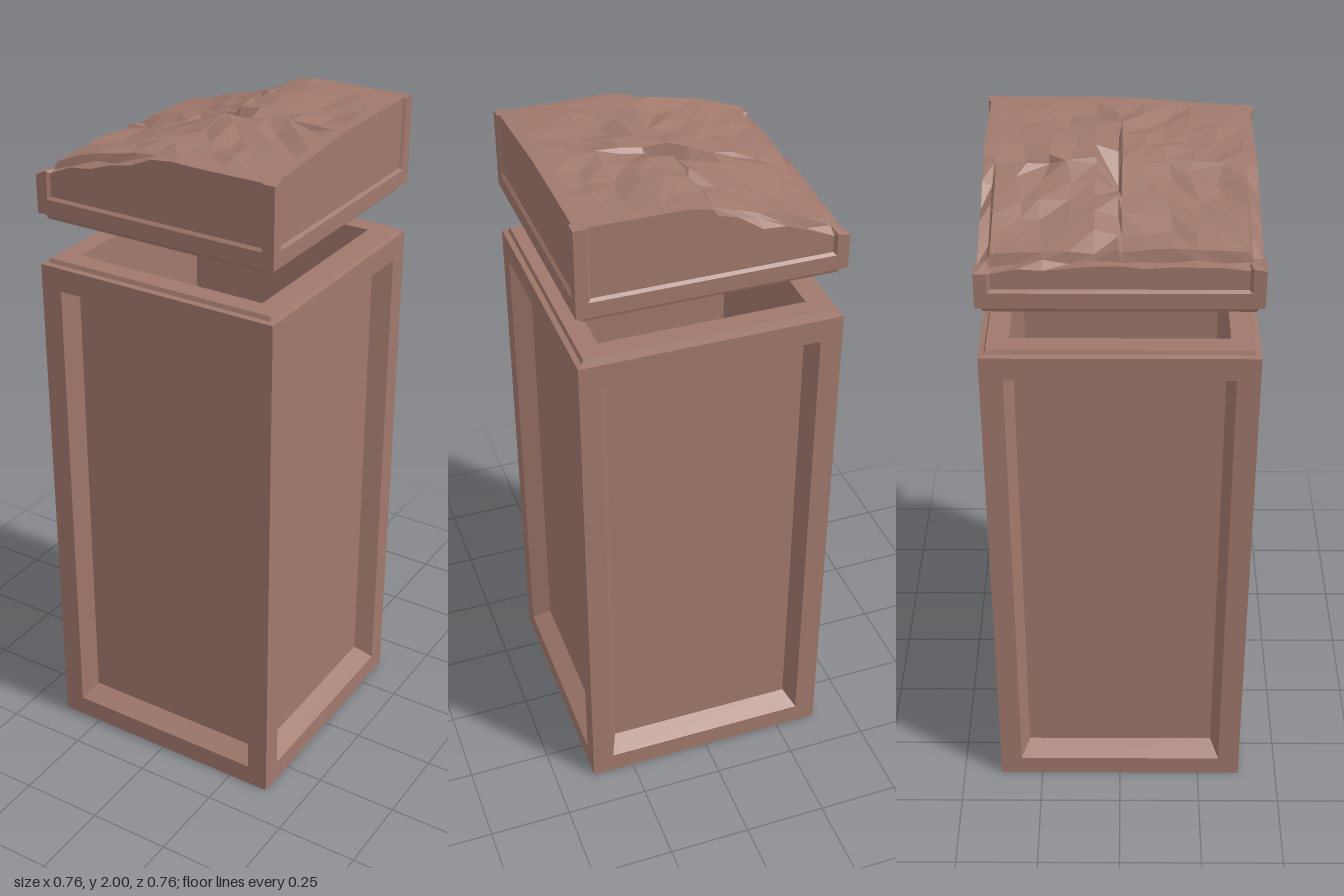
import * as THREE from 'three';

const HALF = 0.38;    // half width of the plinth and its cap
const INSET = 0.008;  // depth of the cap's shallow side panels
const COORDS = [0.005, 0.067, 0.133, 0.2, 0.267, 0.337, 0.345, HALF];
const LINES = [...COORDS.map(c => -c).reverse(), ...COORDS];

const stone = new THREE.MeshStandardMaterial({ color: 0xa0786b, flatShading: true });
stone.name = 'brown stone';

// Faceted sheet of nu x nv points; u runs right and v up when seen from its front
function sheet(nu, nv, point) {
  const pos = [], index = [];
  for (let j = 0; j < nv; j++) for (let i = 0; i < nu; i++) pos.push(...point(i, j));
  for (let j = 0; j < nv - 1; j++) for (let i = 0; i < nu - 1; i++) {
    const a = j * nu + i, b = a + 1, d = a + nu, c = d + 1;
    // the diagonal points to the sheet's centre so bevel corners mitre
    if ((i < (nu - 1) / 2) === (j < (nv - 1) / 2)) index.push(a, b, c, a, c, d);
    else index.push(a, b, d, b, c, d);
  }
  const g = new THREE.BufferGeometry();
  g.setAttribute('position', new THREE.Float32BufferAttribute(pos, 3));
  g.setIndex(index);
  g.computeVertexNormals();
  return g;
}

// Square ring profile swept around the four sides
function squareLathe(points) {
  const pts = points.map(([r, y]) => new THREE.Vector2(r * Math.SQRT2, y));
  return new THREE.LatheGeometry(pts, 4, Math.PI / 4);
}

function add(group, name, geometry) {
  const mesh = new THREE.Mesh(geometry, stone);
  mesh.name = name;
  group.add(mesh);
  return mesh;
}

// Repeatable noise in -1..1 from a position
function noise(x, z, seed) {
  const s = Math.sin(Math.round(x * 1000) * 12.9898 + Math.round(z * 1000) * 78.233 + seed * 37.7) * 43758.5453;
  return (s - Math.floor(s)) * 2 - 1;
}

const RIDGE = [[-0.38, 1.875], [-0.3, 1.895], [-0.2, 1.925], [-0.1, 1.957], [0, 1.985], [0.07, 2], [0.38, 2]];

// Height of the rough-hewn top
function topHeight(x, z) {
  let k = 0;
  while (k < RIDGE.length - 2 && x > RIDGE[k + 1][0]) k++;
  const [x0, y0] = RIDGE[k], [x1, y1] = RIDGE[k + 1];
  let y = y0 + (y1 - y0) * (x - x0) / (x1 - x0);
  const clamp = THREE.MathUtils.clamp;
  y -= 0.03 * Math.max(0, z / HALF) * clamp((x + 0.2) / 0.3, 0, 1);
  if (x < 0 && z < 0) y -= 0.015 * (z / HALF) ** 2;
  const edge = Math.max(Math.abs(x), Math.abs(z));
  if (edge > 0.34) y -= 0.02 * clamp(-x / 0.13, 0, 1);      // chipped rim
  else if (edge < 0.3) y += 0.012 * noise(x, z, 1) - 0.005; // tool marks
  if (x < -0.06 && edge > 0.3) y += 0.01 * noise(x, z, 2);
  if (z === -0.005) y -= 0.1 * Math.max(0, 1 - Math.abs(x) / 0.095); // gouge
  return Math.min(y, 2);
}

function topPoint(x, z) {
  const y = topHeight(x, z);
  let px = x, pz = z;
  // follow the shallow panels along the rim
  if (Math.abs(x) === HALF && Math.abs(z) < 0.34) px -= Math.sign(x) * INSET;
  if (Math.abs(z) === HALF && Math.abs(x) < 0.34) pz -= Math.sign(z) * INSET;
  // irregular facets away from the rim and the gouge
  if (Math.max(Math.abs(x), Math.abs(z)) < 0.3 && Math.abs(z) > 0.07) {
    px += 0.018 * noise(x, z, 3);
    pz += 0.018 * noise(x, z, 4);
  }
  return [px, y, pz];
}

function makePlinth() {
  const plinth = new THREE.Group();
  plinth.name = 'plinth';
  const us = [-HALF, -0.315, -0.29, 0.29, 0.315, HALF];
  const vs = [0, 0.065, 0.1, 1.485, 1.515, 1.585];
  const inner = i => i === 2 || i === 3;
  const side = sheet(6, 6, (i, j) => [us[i], vs[j], HALF - (inner(i) && inner(j) ? 0.055 : 0)]);
  for (let k = 0; k < 4; k++) add(plinth, 'panelledSide', side).rotation.y = k * Math.PI / 2;
  add(plinth, 'base', squareLathe([[0, 0], [HALF, 0]]));
  add(plinth, 'rimAndHollow', squareLathe([
    [HALF, 1.585], [0.365, 1.588], [0.36, 1.6], [0.3, 1.6], [0.3, 0.05], [0, 0.05]]));
  return plinth;
}

function makeCap() {
  const cap = new THREE.Group();
  cap.name = 'cap';
  const n = LINES.length;

  // Sides with shallow panels that run up into the rough top
  for (let k = 0; k < 4; k++) {
    const side = sheet(n, 4, (i, j) => {
      const u = LINES[i];
      const [x, z] = [[u, HALF], [HALF, -u], [-u, -HALF], [-HALF, u]][k];
      const y = j === 3 ? topHeight(x, z) : [1.74, 1.785, 1.793][j];
      return [u, y, HALF - (j > 1 && Math.abs(u) < 0.34 ? INSET : 0)];
    });
    add(cap, 'capSide', side).rotation.y = k * Math.PI / 2;
  }

  // Rough top, and the uneven ceiling of the hollow beneath it
  add(cap, 'roughTop', sheet(n, n, (i, j) => topPoint(LINES[i], LINES[n - 1 - j])));
  add(cap, 'hollowCeiling', sheet(n, n, (i, j) => {
    const [x, y, z] = topPoint(LINES[i], LINES[j]);
    const border = i === 0 || j === 0 || i === n - 1 || j === n - 1;
    const s = 0.3 / HALF;
    return border ? [LINES[i] * s, 1.8, LINES[j] * s] : [x * s, y - 0.05, z * s];
  }));

  // Stepped lower lip and inner walls
  add(cap, 'lowerLip', squareLathe([
    [0.3, 1.8], [0.3, 1.72], [0.36, 1.72], [0.365, 1.735], [HALF, 1.74]]));
  return cap;
}

export function createModel() {
  const model = new THREE.Group();
  model.name = 'stonePedestal';
  model.add(makePlinth(), makeCap());
  return model;
}
